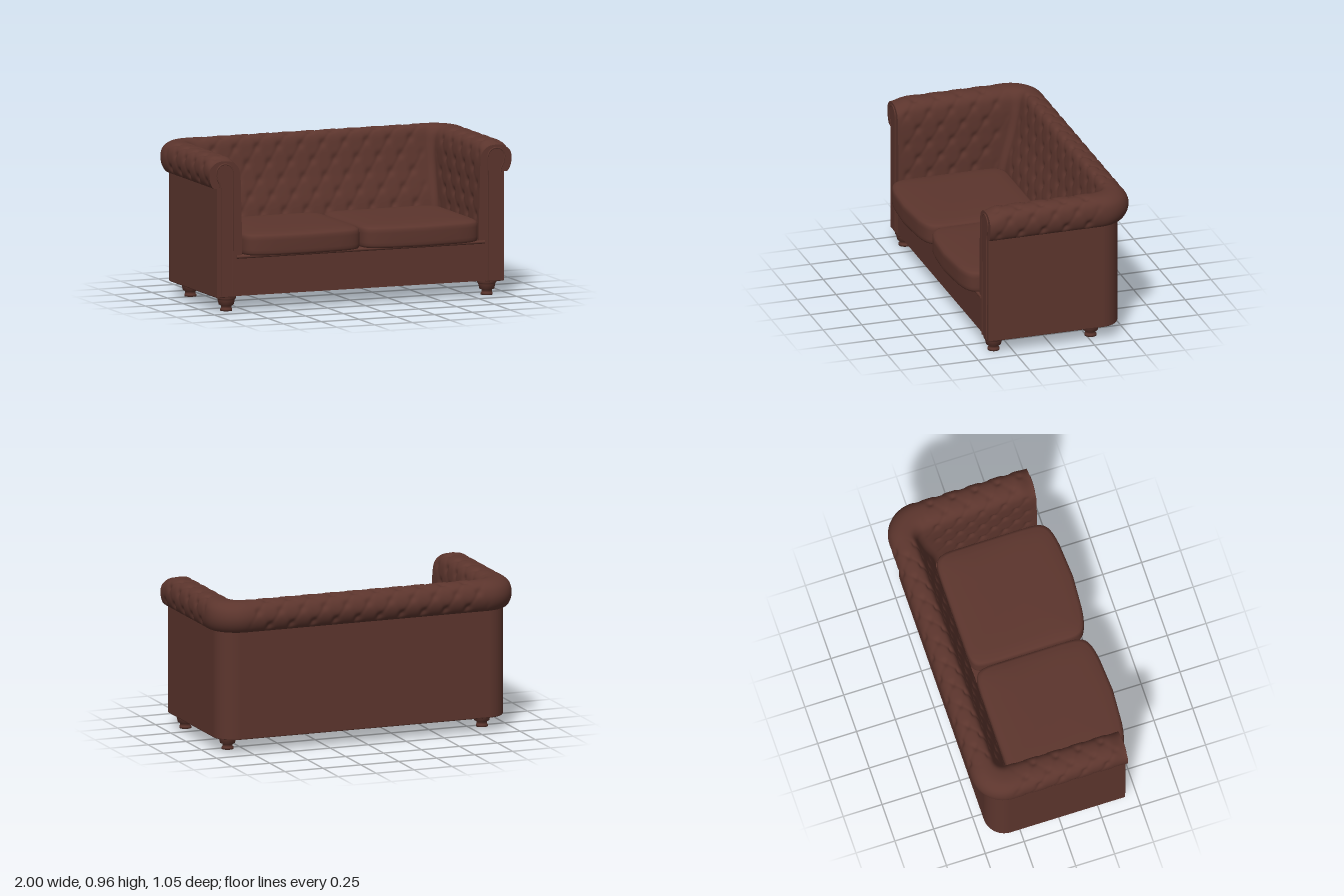
import * as THREE from 'three';

const V2 = (x, y) => new THREE.Vector2(x, y);
const FRONT = 0.42;

// Smooth surface from a grid of points; fn(i, j) returns [x, y, z]
function gridSurface(ni, nj, fn, wrap = false) {
  const pos = [], index = [];
  for (let i = 0; i < ni; i++) for (let j = 0; j < nj; j++) pos.push(...fn(i, j));
  const last = wrap ? ni : ni - 1;
  for (let i = 0; i < last; i++) for (let j = 0; j < nj - 1; j++) {
    const a = i * nj + j, b = ((i + 1) % ni) * nj + j;
    index.push(a, b, b + 1, a, b + 1, a + 1);
  }
  const g = new THREE.BufferGeometry();
  g.setAttribute('position', new THREE.Float32BufferAttribute(pos, 3));
  g.setIndex(index);
  g.computeVertexNormals();
  return g;
}

// Point on a U-shaped plan with rounded rear corners, seen from +x front round to -x front
const NA = 70, NC = 14, NB = 150, STATIONS = 2 * NA + 2 * NC + NB + 1;
function uPoint(hx, zb, r, i) {
  const mirrored = i > (STATIONS - 1) / 2;
  const k = mirrored ? STATIONS - 1 - i : i;
  let x, z;
  if (k <= NA) {
    x = hx;
    z = THREE.MathUtils.lerp(FRONT, zb + r, k / NA);
  } else if (k <= NA + NC) {
    const t = ((k - NA) / NC) * Math.PI / 2;
    x = hx - r + r * Math.cos(t);
    z = zb + r - r * Math.sin(t);
  } else {
    x = (hx - r) * (1 - (k - NA - NC) / (NB / 2));
    z = zb;
  }
  return [mirrored ? -x : x, z, k];
}

// Depth of the buttoned diamond quilting at surface coordinates
function tuft(a, v) {
  const su = 0.145, sv = 0.1;
  const p = a / su + v / (2 * sv), q = a / su - v / (2 * sv);
  const dp = p - Math.round(p), dq = q - Math.round(q);
  const da = (dp + dq) * su / 2, dv = (dp - dq) * sv;
  const button = Math.exp(-(da * da + dv * dv) / (2 * 0.016 ** 2));
  const crease = Math.exp(-((dp / 0.09) ** 2)) + Math.exp(-((dq / 0.09) ** 2));
  return 0.012 * button + 0.0025 * Math.min(crease, 1);
}

// Rolled top and inner lining, one section swept round arms and back
function upholstery() {
  const section = new THREE.CatmullRomCurve3([
    [0.945, 0.765, -0.445], [0.975, 0.77, -0.485], [0.995, 0.81, -0.515], [1.0, 0.86, -0.525],
    [0.99, 0.91, -0.51], [0.955, 0.945, -0.47], [0.9, 0.955, -0.42], [0.845, 0.945, -0.385],
    [0.81, 0.91, -0.365], [0.795, 0.84, -0.35], [0.79, 0.7, -0.32], [0.785, 0.5, -0.265],
    [0.785, 0.33, -0.24],
  ].map(p => new THREE.Vector3(...p)));
  const NR = 84, rows = section.getSpacedPoints(NR - 1), len = section.getLength();
  const g = gridSurface(STATIONS, NR, (i, j) => {
    const s = rows[j];
    const r = THREE.MathUtils.clamp(0.2 - (1 - s.x) * 0.75, 0.04, 0.2);
    const [x, z, k] = uPoint(s.x, s.z, r, i);
    // the roll dips slightly at the arm fronts
    const dip = k <= NA ? 0.022 * THREE.MathUtils.smoothstep(z, 0.33, FRONT) : 0;
    return [x, s.y - dip * THREE.MathUtils.smoothstep(s.y, 0.82, 0.95), z];
  });
  const p = g.attributes.position, n = g.attributes.normal;
  for (let i = 0; i < STATIONS; i++) {
    const k = Math.min(i, STATIONS - 1 - i);
    const onArm = k < NA, onBack = k > NA + NC;
    if (!onArm && !onBack) continue;
    const edge = onArm ? Math.min(k, NA - k) / 8 : (k - NA - NC) / 6;
    for (let j = 0; j < NR; j++) {
      const id = i * NR + j, v = (j / (NR - 1)) * len;
      const fade = Math.min(1, edge) * THREE.MathUtils.smoothstep(v, 0.03, 0.08);
      const d = -tuft(onArm ? p.getZ(id) : p.getX(id), v) * fade;
      p.setXYZ(id, p.getX(id) + n.getX(id) * d, p.getY(id) + n.getY(id) * d, p.getZ(id) + n.getZ(id) * d);
    }
  }
  g.computeVertexNormals();
  // outline of the arm end, used to close the sweep
  const end = [];
  for (let j = 0; j < NR; j++) end.push(V2(p.getX(j), p.getY(j)));
  end.push(V2(0.945, 0.33));
  return { geometry: g, end };
}

// Plump seat cushion with a bowed front
function cushionGeometry() {
  const profile = [[0, 0.346], [0.95, 0.346], [0.985, 0.35], [0.998, 0.362], [1, 0.38], [1, 0.44],
    [0.996, 0.458], [0.98, 0.471], [0.94, 0.479], [0.8, 0.486], [0.5, 0.489], [0, 0.489]];
  const N = 120, pw = c => Math.sign(c) * Math.abs(c) ** 0.2;
  return gridSurface(N, profile.length, (i, j) => {
    const t = (i / N) * Math.PI * 2, [s, y] = profile[j];
    const u = pw(Math.cos(t)), w = -pw(Math.sin(t));
    const bow = w > 0 ? -0.045 * u * u * w : 0;
    return [u * s * 0.388, y, 0.135 + s * (w * 0.388 + bow)];
  }, true);
}

export function createModel() {
  const sofa = new THREE.Group();
  sofa.name = 'sofa';
  const leather = new THREE.MeshStandardMaterial({ color: 0x5c352d });
  leather.name = 'brown leather';
  const add = (name, geometry, x = 0, y = 0, z = 0) => {
    const m = new THREE.Mesh(geometry, leather);
    m.name = name;
    m.position.set(x, y, z);
    sofa.add(m);
    return m;
  };

  // Outer shell: U-shaped wall
  const hx = 0.95, back = 0.45, r = 0.13, ix = 0.83, ib = 0.36, f = -0.417;
  const plan = new THREE.Shape();
  plan.moveTo(hx, f);
  plan.lineTo(hx, back - r);
  plan.absarc(hx - r, back - r, r, 0, Math.PI / 2);
  plan.lineTo(-hx + r, back);
  plan.absarc(-hx + r, back - r, r, Math.PI / 2, Math.PI);
  plan.lineTo(-hx, f);
  plan.lineTo(-ix, f);
  plan.lineTo(-ix, ib);
  plan.lineTo(ix, ib);
  plan.lineTo(ix, f);
  const shell = new THREE.ExtrudeGeometry(plan, {
    depth: 0.673, bevelThickness: 0.006, bevelSize: 0.006, bevelOffset: -0.006, bevelSegments: 2, curveSegments: 16,
  });
  shell.rotateX(-Math.PI / 2);
  add('outerShell', shell, 0, 0.094, 0);

  // Seat base with front rail and piping
  add('seatBase', new THREE.BoxGeometry(1.67, 0.247, 0.79), 0, 0.2175, 0.015);
  const piping = new THREE.CylinderGeometry(0.011, 0.011, 1.64, 12);
  piping.rotateZ(Math.PI / 2);
  add('railPiping', piping, 0, 0.336, 0.418);

  // Tufted lining and roll
  const { geometry, end } = upholstery();
  add('tuftedUpholstery', geometry);

  const footProfile = [[0, 0], [0.037, 0], [0.037, 0.012], [0.031, 0.017], [0.032, 0.032], [0.046, 0.038],
    [0.053, 0.068], [0.053, 0.072], [0.06, 0.077], [0.06, 0.094]].map(p => V2(...p));
  const foot = new THREE.LatheGeometry(footProfile, 24);
  const cushion = cushionGeometry();

  for (const s of [1, -1]) {
    const side = s > 0 ? 'left' : 'right';
    const mirror = pts => pts.map(p => V2(p.x * s, p.y));

    // Arm front with raised keyhole panel and welt
    add(side + 'ArmEnd', new THREE.ShapeGeometry(new THREE.Shape(mirror(end))), 0, 0, FRONT);
    const outline = [V2(0.845, 0.1), V2(0.843, 0.86)];
    for (let k = 1; k <= 14; k++) {
      const t = Math.PI * (1 - k / 14);
      outline.push(V2(0.898 + 0.055 * Math.cos(t), 0.86 + 0.055 * Math.sin(t)));
    }
    outline.push(V2(0.948, 0.825), V2(0.932, 0.795), V2(0.925, 0.76), V2(0.925, 0.1));
    const pts = mirror(outline);
    add(side + 'ArmPanel', new THREE.ExtrudeGeometry(new THREE.Shape(pts), { depth: 0.008, bevelEnabled: false }), 0, 0, 0.415);
    const path = new THREE.CurvePath();
    for (let k = 0; k < pts.length - 1; k++) {
      path.add(new THREE.LineCurve3(new THREE.Vector3(pts[k].x, pts[k].y, 0), new THREE.Vector3(pts[k + 1].x, pts[k + 1].y, 0)));
    }
    add(side + 'ArmWelt', new THREE.TubeGeometry(path, 160, 0.005, 8), 0, 0, 0.421);

    add(side + 'SeatCushion', cushion, s * 0.391, 0, 0);
    add(side + 'FrontFoot', foot, s * 0.862, 0, 0.355);
    add(side + 'BackFoot', foot, s * 0.838, 0, -0.277);
  }
  return sofa;
}
